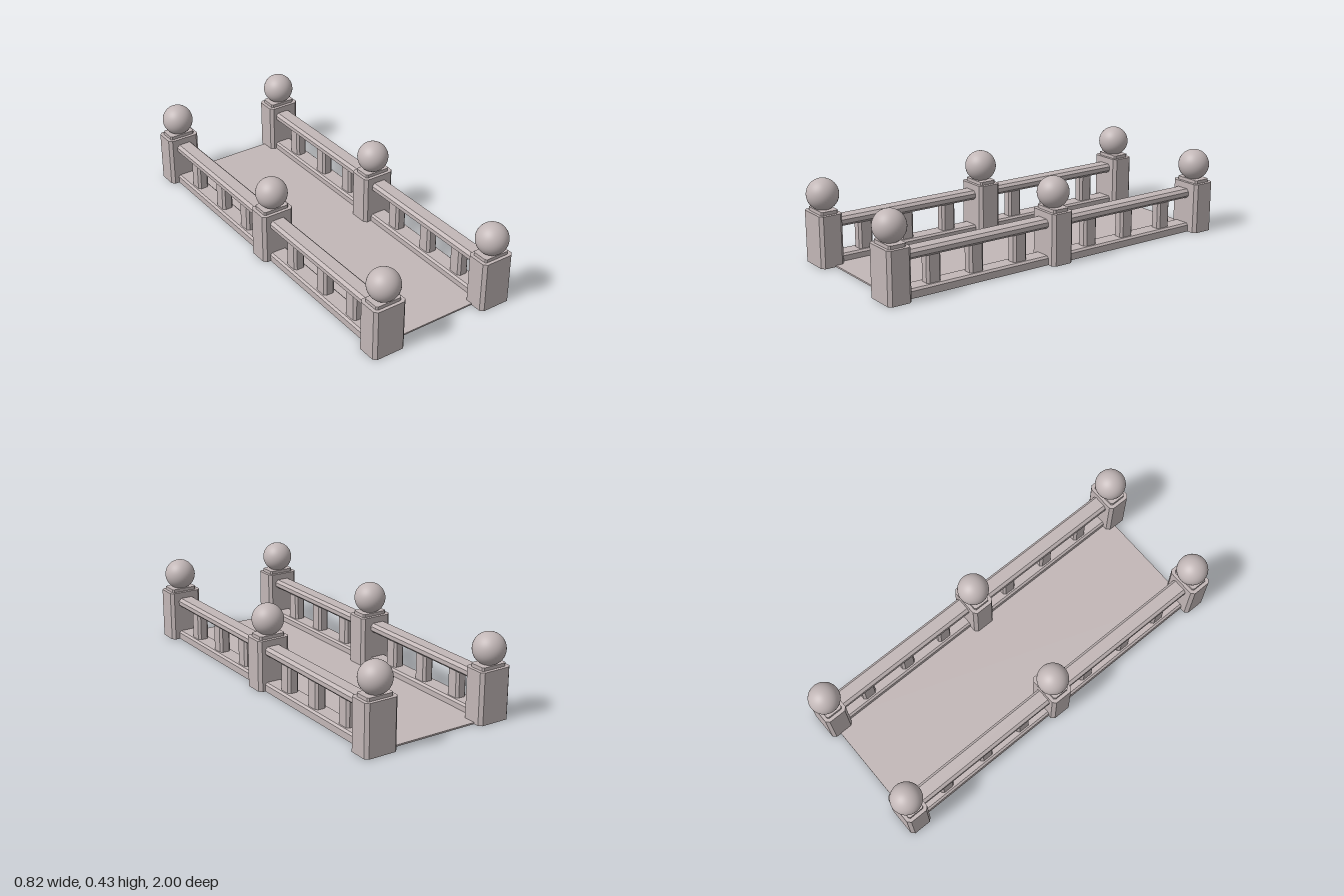
import * as THREE from 'three';

// Rectangle outline with cut corners: c for the lower pair, ct for the upper pair
function cutRect(w, h, c, ct = c) {
  const x = w / 2, y = h / 2;
  const pts = [[-x + c, -y], [x - c, -y], [x, -y + c], [x, y - ct], [x - ct, y], [-x + ct, y], [-x, y - ct], [-x, -y + c]];
  return new THREE.Shape(pts.map(([a, b]) => new THREE.Vector2(a, b)));
}

// Upright chamfered block standing on y = 0
function uprightBlock(w, d, h, c) {
  const g = new THREE.ExtrudeGeometry(cutRect(w, d, c), { depth: h, bevelEnabled: false });
  return g.rotateX(-Math.PI / 2);
}

// Rail running along z, centred on its length
function railBar(w, h, length, c, ct) {
  const g = new THREE.ExtrudeGeometry(cutRect(w, h, c, ct), { depth: length, bevelEnabled: false });
  return g.translate(0, 0, -length / 2);
}

export function createModel() {
  const model = new THREE.Group();
  model.name = 'bridge';
  const stone = new THREE.MeshStandardMaterial({ color: 0xc2b7b7 });
  stone.name = 'pale stone';

  function add(parent, name, geometry, x, y, z) {
    const mesh = new THREE.Mesh(geometry, stone);
    mesh.name = name;
    mesh.position.set(x, y, z);
    parent.add(mesh);
  }

  // Thin walkway slab
  add(model, 'walkway', new THREE.BoxGeometry(0.65, 0.008, 1.85), -0.01, 0.004, -0.015);

  // Six posts, each with a cap plate and a ball
  const postGeo = uprightBlock(0.176, 0.124, 0.263, 0.016);
  const capGeo = uprightBlock(0.14, 0.09, 0.017, 0.008);
  const ballGeo = new THREE.SphereGeometry(0.08, 40, 24);
  const posts = [
    [-0.325, 0.92], [-0.316, 0], [-0.325, -0.92],
    [0.302, 0.92], [0.302, 0], [0.322, -0.92],
  ];
  for (const [x, z] of posts) {
    const post = new THREE.Group();
    post.name = 'post';
    post.position.set(x, 0, z);
    add(post, 'postShaft', postGeo, 0, 0, 0);
    add(post, 'postCap', capGeo, 0, 0.263, 0);
    add(post, 'postBall', ballGeo, 0, 0.35, 0);
    model.add(post);
  }

  // Four balustrade sections between the posts
  const lowerGeo = railBar(0.096, 0.045, 0.84, 0, 0.01);
  const upperGeo = railBar(0.09, 0.047, 0.84, 0.012, 0.014);
  const balusterGeo = uprightBlock(0.06, 0.078, 0.15, 0.012);
  const sections = [
    [-0.321, 0.46, [0.705, 0.468, 0.216]], [-0.325, -0.46, [-0.212, -0.45, -0.703]],
    [0.301, 0.46, [0.705, 0.468, 0.216]], [0.311, -0.46, [-0.212, -0.45, -0.703]],
  ];
  for (const [x, z, balusters] of sections) {
    const section = new THREE.Group();
    section.name = 'balustrade';
    section.position.x = x;
    add(section, 'lowerRail', lowerGeo, 0, 0.0225, z);
    add(section, 'upperRail', upperGeo, 0, 0.2065, z);
    for (const bz of balusters) add(section, 'baluster', balusterGeo, 0, 0.04, bz);
    model.add(section);
  }
  return model;
}
